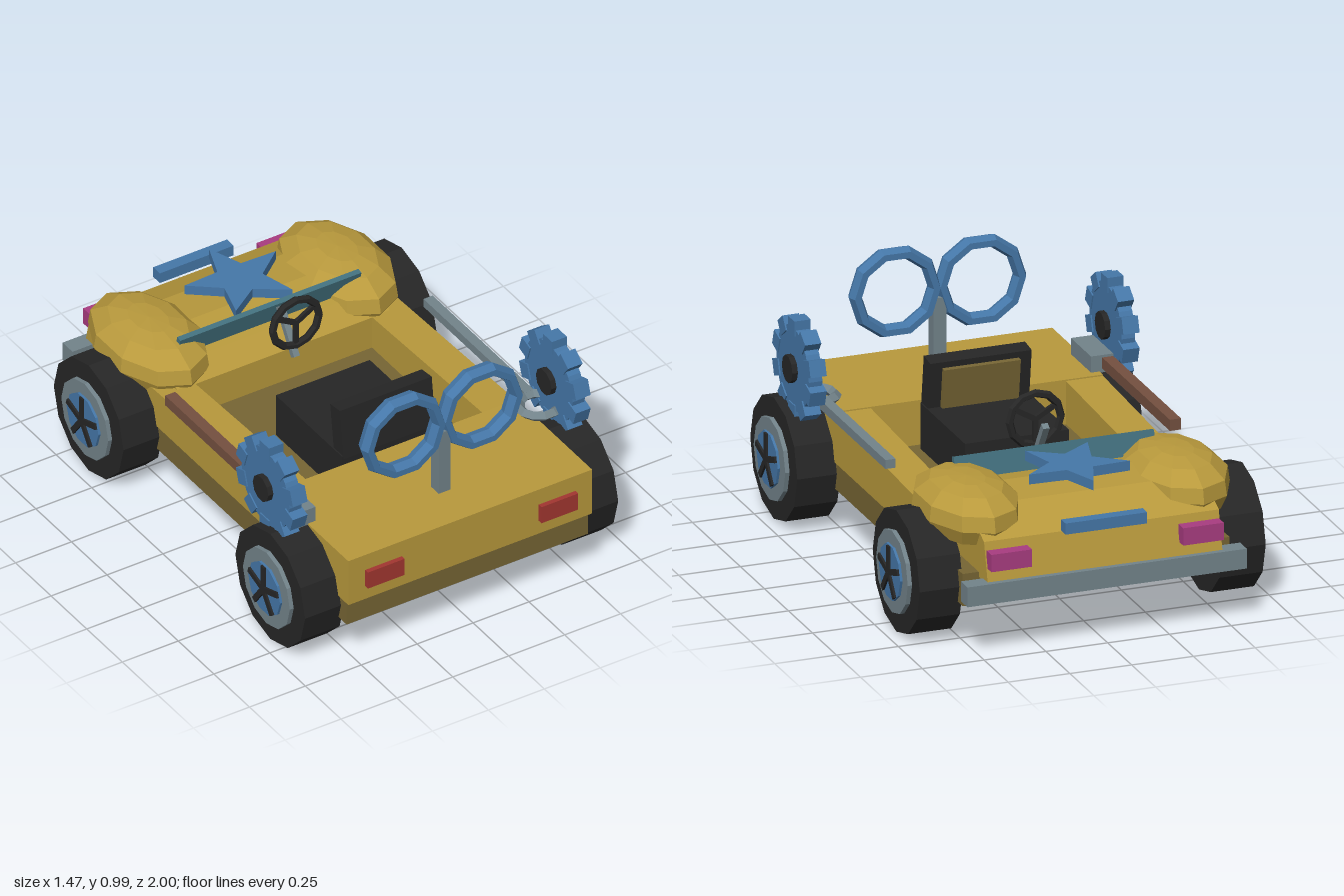
import * as THREE from 'three';

const mat = (name, color) => {
  const m = new THREE.MeshStandardMaterial({ color, flatShading: true });
  m.name = name;
  return m;
};

export function createModel() {
  const ochre = mat('ochre paint', 0xb8993c), dark = mat('dark ochre', 0x766534);
  const blue = mat('blue', 0x4577a8), grey = mat('grey metal', 0x72838a);
  const black = mat('black rubber', 0x262626), teal = mat('teal glass', 0x43717f);
  const red = mat('red lamp', 0xa23630), pink = mat('pink lamp', 0xa83c80);
  const brown = mat('brown wood', 0x74503f);

  const car = new THREE.Group();
  car.name = 'clockworkCar';

  const add = (name, geo, material, x = 0, y = 0, z = 0, parent = car) => {
    const m = new THREE.Mesh(geo, material);
    m.name = name;
    m.position.set(x, y, z);
    parent.add(m);
    return m;
  };
  // box given by its min and max on each axis
  const box = (name, material, x0, x1, y0, y1, z0, z1, parent) =>
    add(name, new THREE.BoxGeometry(x1 - x0, y1 - y0, z1 - z0), material,
      (x0 + x1) / 2, (y0 + y1) / 2, (z0 + z1) / 2, parent);
  // side profile of [z, y] points extruded across x, centred on x = 0
  const profile = (pts, width) => {
    const s = new THREE.Shape(pts.map(p => new THREE.Vector2(...p)));
    const g = new THREE.ExtrudeGeometry(s, { depth: width, bevelEnabled: false });
    return g.translate(0, 0, -width / 2).rotateY(-Math.PI / 2);
  };
  // cylinder lying along x
  const disc = (r, w, n) => new THREE.CylinderGeometry(r, r, w, n).rotateZ(Math.PI / 2);

  // Chassis and body
  box('chassis', dark, -0.54, 0.54, 0.18, 0.31, -0.88, 0.96);
  box('rearDeck', ochre, -0.545, 0.545, 0.285, 0.49, 0.45, 0.98);
  const wall = profile([[0.46, 0.29], [0.46, 0.485], [-0.5, 0.445], [-0.5, 0.29]], 0.15);
  for (const s of [-1, 1]) add('sideWall', wall, ochre, s * 0.47, 0, 0);
  add('hood', profile([[-0.33, 0.3], [-0.33, 0.45], [-0.41, 0.51], [-0.58, 0.545], [-0.76, 0.53],
    [-0.935, 0.45], [-0.975, 0.29]], 0.95), ochre);

  // Domed front fenders
  const dome = new THREE.LatheGeometry([[0, 0.41], [0.88, 0.41], [1, 0.47], [0.96, 0.53],
    [0.68, 0.578], [0.35, 0.596], [0, 0.6]].map(p => new THREE.Vector2(...p)), 10);
  dome.scale(0.195, 1, 0.305);
  for (const s of [-1, 1]) add('frontFender', dome, ochre, s * 0.422, 0, -0.615);

  // Windscreen, hood star, badge strip
  const screen = add('windscreen', new THREE.BoxGeometry(0.81, 0.12, 0.022), teal, 0, 0.545, -0.445);
  screen.rotation.x = 0.25;
  const star = new THREE.Shape();
  for (let i = 0; i < 10; i++) {
    const r = i % 2 ? 0.09 : 0.215, a = Math.PI / 2 + i * Math.PI / 5;
    star[i ? 'lineTo' : 'moveTo'](r * Math.cos(a), r * Math.sin(a));
  }
  const starGeo = new THREE.ExtrudeGeometry(star, { depth: 0.04, bevelEnabled: false });
  add('hoodStar', starGeo.rotateX(-Math.PI / 2), blue, 0, 0.563, -0.64);
  box('noseStrip', blue, -0.165, 0.165, 0.455, 0.5, -0.987, -0.94);

  // Bumper and lamps
  box('frontBumper', grey, -0.565, 0.565, 0.22, 0.3, -0.995, -0.925);
  for (const s of [-1, 1]) {
    const c = s * 0.388;
    box('headlamp', pink, c - 0.082, c + 0.082, 0.35, 0.42, -1, -0.95);
    box('tailLamp', red, c - 0.082, c + 0.082, 0.345, 0.42, 0.97, 1);
  }

  // Wheels: tyre, grey rim, blue disc, five black spokes
  const makeWheel = (s, z) => {
    const w = new THREE.Group();
    w.name = 'wheel';
    w.position.set(s * 0.6125, 0.245, z);
    add('tyre', disc(0.245, 0.175, 12), black, 0, 0, 0, w);
    add('rim', disc(0.165, 0.03, 12), grey, s * 0.09, 0, 0, w);
    add('wheelDisc', disc(0.112, 0.03, 10), blue, s * 0.1, 0, 0, w);
    for (let i = 0; i < 5; i++) {
      const g = new THREE.BoxGeometry(0.03, 0.105, 0.024).translate(0, 0.053, 0);
      add('spoke', g, black, s * 0.109, 0, 0, w).rotation.x = i * Math.PI * 0.4;
    }
    car.add(w);
  };
  // Gears: toothed disc with a black hub
  const makeGear = s => {
    const g = new THREE.Group();
    g.name = 'gear';
    g.position.set(s * 0.633, 0.637, 0.58);
    add('gearDisc', disc(0.168, 0.055, 20), blue, 0, 0, 0, g);
    for (let i = 0; i < 10; i++) {
      const t = new THREE.BoxGeometry(0.066, 0.06, 0.065).translate(0, 0.17, 0);
      add('gearTooth', t, blue, 0, 0, 0, g).rotation.x = i * Math.PI / 5;
    }
    add('gearHub', disc(0.055, 0.1, 10), black, 0, 0, 0, g);
    car.add(g);
  };
  for (const s of [-1, 1]) {
    makeWheel(s, 0.675);
    makeWheel(s, -0.6);
    makeGear(s);
  }

  // Wind-up key
  const ring = new THREE.TorusGeometry(0.16, 0.026, 6, 10).scale(1, 1, 1.5);
  for (const s of [-1, 1]) add('keyRing', ring, blue, s * 0.173, 0.81, 0.773);
  box('keyStem', grey, -0.026, 0.026, 0.48, 0.77, 0.745, 0.8);

  // Seat
  box('seatCushion', black, -0.21, 0.21, 0.31, 0.495, -0.055, 0.41);
  const back = new THREE.Group();
  back.name = 'seatBack';
  back.position.set(0, 0.48, 0.38);
  back.rotation.x = -0.13;
  box('backrest', black, -0.205, 0.205, 0, 0.21, -0.035, 0.035, back);
  box('backrestPanel', dark, -0.155, 0.155, 0.02, 0.185, -0.055, -0.03, back);
  car.add(back);

  // Steering wheel and column
  add('steeringWheel', new THREE.TorusGeometry(0.104, 0.016, 6, 12), black, 0, 0.635, -0.245);
  for (let i = 0; i < 3; i++) {
    const g = new THREE.BoxGeometry(0.02, 0.1, 0.014).translate(0, 0.05, 0);
    add('steeringSpoke', g, black, 0, 0.635, -0.245).rotation.z = Math.PI + i * Math.PI * 2 / 3;
  }
  const column = add('steeringColumn', new THREE.BoxGeometry(0.026, 0.2, 0.026), grey, 0, 0.56, -0.3);
  column.rotation.x = -0.56;

  // Mallet on the right, wrench on the left
  box('malletHandle', brown, -0.6, -0.555, 0.5, 0.545, -0.22, 0.49);
  box('malletHead', grey, -0.6, -0.51, 0.485, 0.555, 0.485, 0.695);
  box('wrenchHandle', grey, 0.555, 0.596, 0.506, 0.542, -0.22, 0.49);
  const jaw = new THREE.TorusGeometry(0.075, 0.022, 4, 9, Math.PI * 1.5);
  jaw.rotateZ(Math.PI * 0.25).rotateX(-Math.PI / 2);
  add('wrenchJaw', jaw, grey, 0.573, 0.522, 0.56).material.side = THREE.DoubleSide;

  return car;
}
